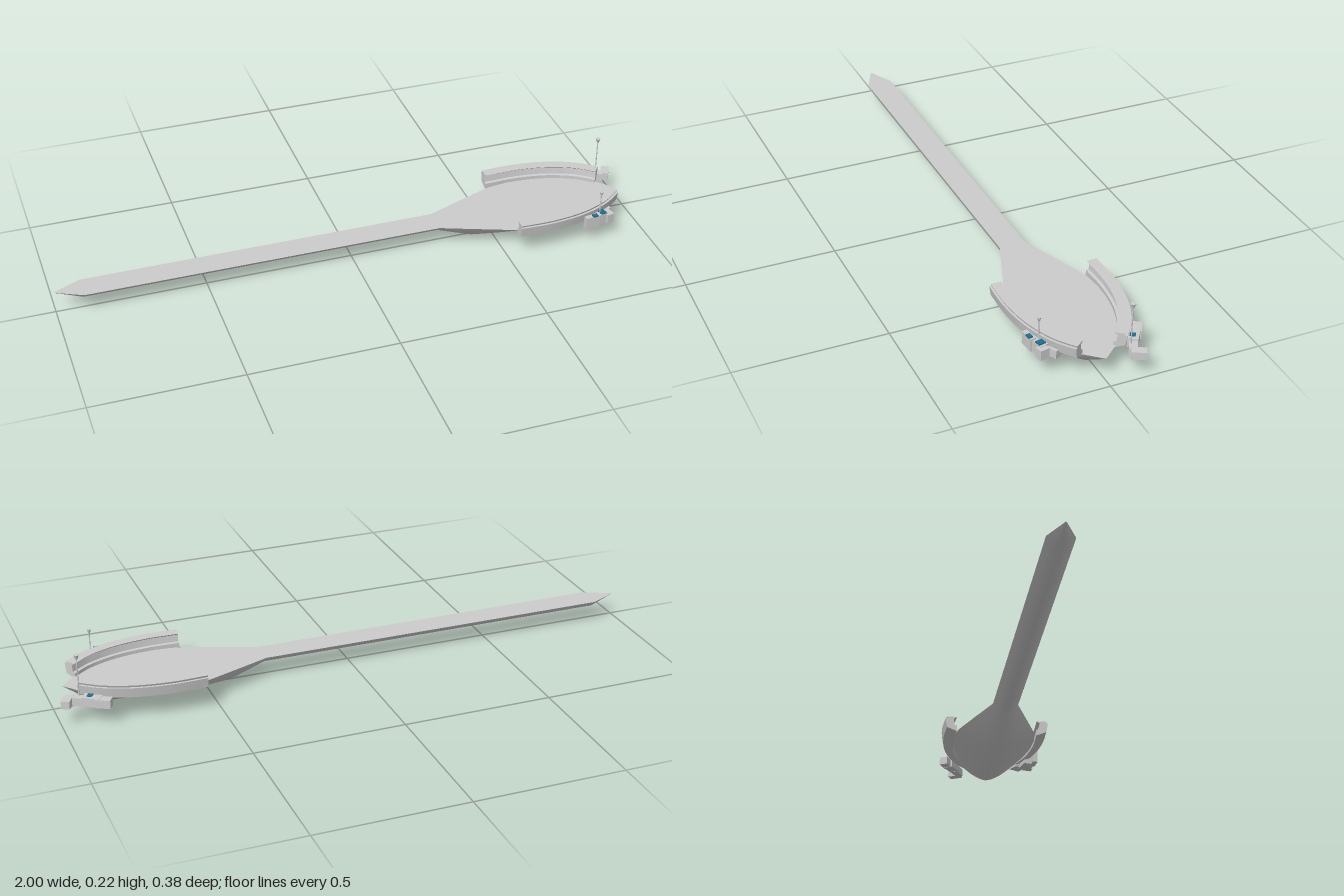
import * as THREE from 'three';
import { toCreasedNormals } from 'three/addons/utils/BufferGeometryUtils.js';

const grey = new THREE.MeshStandardMaterial({ color: 0xcccccc, side: THREE.DoubleSide });
const greyFlat = new THREE.MeshStandardMaterial({ color: 0xcccccc, flatShading: true, side: THREE.DoubleSide });
const teal = new THREE.MeshStandardMaterial({ color: 0x1f6f8f });
const DECK = 0.078;

// Skin closed rings of points, ordered along +x, and cap both ends
function loft(rings) {
  const n = rings[0].length, pos = [], idx = [];
  rings.forEach(r => r.forEach(p => pos.push(p.x, p.y, p.z)));
  for (let i = 0; i < rings.length - 1; i++) {
    for (let j = 0; j < n; j++) {
      const a = i * n + j, b = i * n + (j + 1) % n;
      idx.push(a, b, a + n, b, b + n, a + n);
    }
  }
  [0, rings.length - 1].forEach((row, end) => {
    const c = new THREE.Vector3();
    rings[row].forEach(p => c.addScaledVector(p, 1 / n));
    const ci = pos.length / 3;
    pos.push(c.x, c.y, c.z);
    for (let j = 0; j < n; j++) {
      const a = row * n + j, b = row * n + (j + 1) % n;
      idx.push(ci, end ? a : b, end ? b : a);
    }
  });
  const g = new THREE.BufferGeometry();
  g.setAttribute('position', new THREE.Float32BufferAttribute(pos, 3));
  g.setIndex(idx);
  return toCreasedNormals(g, 0.45);
}

// Hull cross-section: flat deck with a rounded keel below
function hullRing([x, w, bottom, power], n = 16) {
  return Array.from({ length: n + 1 }, (_, j) => {
    const c = Math.cos(Math.PI * j / n);
    const y = DECK - (DECK - bottom) * (1 - Math.abs(c) ** power);
    return new THREE.Vector3(x, y, w * c);
  });
}

// Sweep an (outward, height) section along the curved edge of the deck
function sweepRail(section) {
  const path = new THREE.CatmullRomCurve3([
    [0.54, 0.144], [0.65, 0.146], [0.76, 0.13], [0.85, 0.095], [0.912, 0.05],
  ].map(([x, z]) => new THREE.Vector3(x, 0, z)));
  const rings = [];
  for (let i = 0; i <= 20; i++) {
    const p = path.getPoint(i / 20), t = path.getTangent(i / 20);
    rings.push(section.map(([s, y]) => new THREE.Vector3(p.x - t.z * s, y, p.z + t.x * s)));
  }
  return loft(rings);
}

export function createModel() {
  const model = new THREE.Group();
  const add = (parent, name, geometry, material = grey) => {
    const mesh = new THREE.Mesh(geometry, material);
    mesh.name = name;
    parent.add(mesh);
    return mesh;
  };

  // Long tail boom with its pointed end, and the broad hull
  const tail = [[-1, 0.001, 0.077, 2], [-0.91, 0.044, 0.049, 2], [0.3, 0.044, 0.049, 2]];
  const body = [
    [0.3, 0.044, 0.049, 2], [0.36, 0.067, 0.027, 1.8], [0.42, 0.09, 0.006, 1.7], [0.5, 0.12, 0.002, 1.6],
    [0.55, 0.138, 0.004, 1.5], [0.62, 0.146, 0.008, 1.5], [0.7, 0.143, 0.011, 1.5],
    [0.79, 0.128, 0.013, 1.5], [0.88, 0.1, 0.016, 1.6],
  ];
  const bow = [[0.88, 0.1, 0.016, 1.6], [0.965, 0.001, 0.077, 1.6]];
  add(model, 'tailBoom', loft(tail.map(s => hullRing(s))));
  add(model, 'hull', loft(body.map(s => hullRing(s))));
  add(model, 'bow', loft(bow.map(s => hullRing(s, 12))), greyFlat);

  // Curved side galleries with a thin top lip, mirrored
  const wall = sweepRail([[0.042, 0.116], [0.036, 0.082], [0, 0.068], [0, 0.09], [0.009, 0.092], [0.012, 0.116]]);
  const lip = sweepRail([[0.037, 0.123], [0.034, 0.116], [0.01, 0.116], [0.001, 0.123]]);
  for (const side of [1, -1]) {
    const gallery = new THREE.Group();
    gallery.name = side > 0 ? 'frontGallery' : 'rearGallery';
    add(gallery, 'galleryWall', wall);
    add(gallery, 'galleryLip', lip);
    gallery.scale.z = side;
    model.add(gallery);
  }

  // Boxes given by centre, size and turn
  const box = (parent, name, [x, y, z], size, turn = 0, material = greyFlat) => {
    const mesh = add(parent, name, new THREE.BoxGeometry(...size), material);
    mesh.position.set(x, y, z);
    mesh.rotation.y = turn;
  };

  // Thin mast with a flared horn on top
  const mast = (parent, x, z, base, top, r) => {
    const g = new THREE.Group();
    g.name = 'antenna';
    add(g, 'mast', new THREE.CylinderGeometry(0.002, 0.002, top - base, 8)).position.y = (base + top) / 2;
    add(g, 'horn', new THREE.CylinderGeometry(r, r * 0.45, 0.014, 8), greyFlat).position.y = top - 0.007;
    g.position.set(x, 0, z);
    parent.add(g);
  };

  // Equipment cluster beside the front gallery
  const frontPod = new THREE.Group();
  frontPod.name = 'frontPod';
  box(frontPod, 'podBase', [0.83, 0.08, 0.15], [0.06, 0.038, 0.042], 0.2);
  box(frontPod, 'podOuter', [0.8, 0.082, 0.172], [0.05, 0.044, 0.018], 0.1);
  box(frontPod, 'podInner', [0.865, 0.077, 0.118], [0.04, 0.028, 0.04], 0.5);
  box(frontPod, 'podEnd', [0.867, 0.08, 0.158], [0.026, 0.034, 0.032], 0.2);
  box(frontPod, 'panel', [0.845, 0.101, 0.155], [0.02, 0.005, 0.024], 0.2, teal);
  box(frontPod, 'panel', [0.81, 0.106, 0.175], [0.018, 0.005, 0.014], 0.1, teal);
  mast(frontPod, 0.835, 0.157, 0.095, 0.185, 0.007);
  model.add(frontPod);

  // Equipment cluster reaching past the bow on the other side
  const rearPod = new THREE.Group();
  rearPod.name = 'rearPod';
  box(rearPod, 'podBase', [0.9, 0.075, -0.125], [0.06, 0.03, 0.034], -0.6);
  box(rearPod, 'podOuter', [0.87, 0.075, -0.15], [0.05, 0.028, 0.03], -0.5);
  box(rearPod, 'podArm', [0.94, 0.072, -0.102], [0.05, 0.026, 0.026], -0.5);
  box(rearPod, 'podEnd', [0.975, 0.073, -0.104], [0.028, 0.026, 0.046], -0.5);
  box(rearPod, 'panel', [0.905, 0.091, -0.118], [0.016, 0.004, 0.018], -0.6, teal);
  mast(rearPod, 0.935, -0.097, 0.075, 0.227, 0.009);
  model.add(rearPod);

  return model;
}
